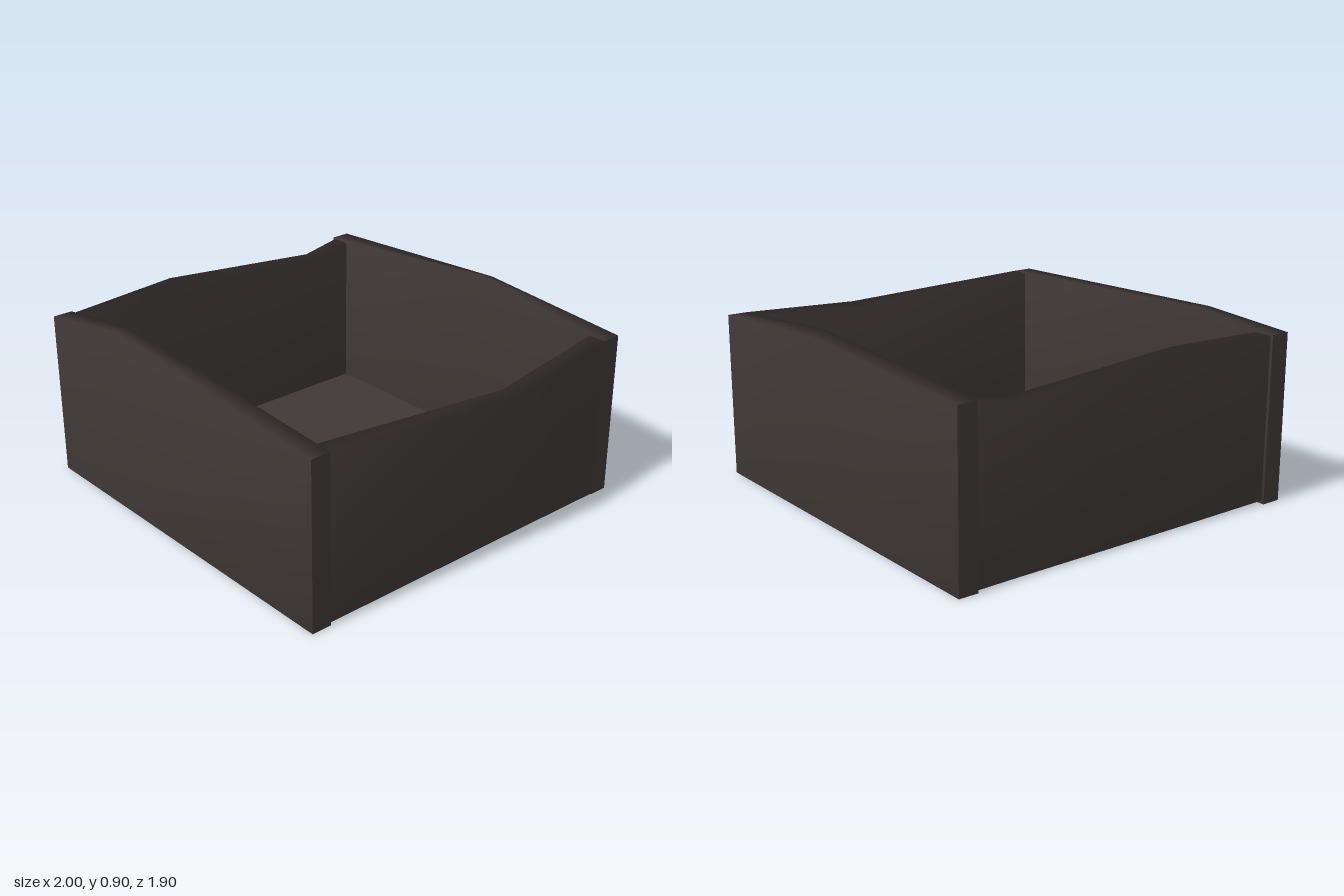
import * as THREE from 'three';

const dark = new THREE.MeshStandardMaterial({ color: 0x3f3837 });
dark.name = 'darkBrown';

// A warped plank lofted along local x, with its outer face towards local +z.
// Section: [along, base y, outer base z, outer top z, outer top y, inner top z, inner top y, inner base z]
function wall(name, sections, turn) {
  const positions = [], index = [];
  const rings = sections.map(([x, y0, ob, ot, oy, it, iy, ib]) =>
    [[x, y0, ob], [x, oy, ot], [x, iy, it], [x, y0, ib]]);

  // Smooth sides share their vertices
  rings.forEach(ring => ring.forEach(p => positions.push(...p)));
  for (let s = 0; s < rings.length - 1; s++) {
    for (let k = 0; k < 4; k++) {
      const a = s * 4 + k, d = s * 4 + (k + 1) % 4;
      index.push(a, a + 4, d + 4, a, d + 4, d);
    }
  }

  // Crisp end caps have their own vertices
  const caps = [rings[0], [...rings[rings.length - 1]].reverse()];
  for (const cap of caps) {
    const n = positions.length / 3;
    cap.forEach(p => positions.push(...p));
    index.push(n, n + 1, n + 2, n, n + 2, n + 3);
  }

  const geometry = new THREE.BufferGeometry();
  geometry.setAttribute('position', new THREE.Float32BufferAttribute(positions, 3));
  geometry.setIndex(index);
  geometry.computeVertexNormals();
  const mesh = new THREE.Mesh(geometry, dark);
  mesh.name = name;
  mesh.rotation.y = turn;
  return mesh;
}

export function createModel() {
  const model = new THREE.Group();
  model.name = 'openCrate';

  // Front and back planks run the full width
  model.add(wall('frontWall', [
    [-1, 0, 0.95, 0.95, 0.83, 0.85, 0.83, 0.85],
    [-0.54, 0, 0.95, 0.895, 0.88, 0.82, 0.885, 0.85],
    [0.93, 0, 0.95, 0.95, 0.825, 0.85, 0.825, 0.85],
  ], 0));
  model.add(wall('backWall', [
    [-0.93, 0, 0.94, 0.94, 0.82, 0.84, 0.82, 0.84],
    [-0.1, 0, 0.94, 0.955, 0.875, 0.88, 0.9, 0.84],
    [1, 0, 0.94, 0.94, 0.82, 0.84, 0.82, 0.84],
  ], Math.PI));

  // Side planks fit between them
  model.add(wall('rightWall', [
    [-0.85, 0.015, 0.93, 0.93, 0.825, 0.84, 0.825, 0.83],
    [0.18, 0.01, 0.93, 1.0, 0.775, 0.9, 0.765, 0.83],
    [0.84, 0.005, 0.93, 0.93, 0.82, 0.84, 0.82, 0.83],
  ], Math.PI / 2));
  model.add(wall('leftWall', [
    [-0.84, 0.005, 0.985, 0.985, 0.815, 0.89, 0.815, 0.89],
    [-0.63, 0.007, 0.985, 0.985, 0.775, 0.905, 0.775, 0.89],
    [0.28, 0.01, 0.985, 0.98, 0.865, 0.91, 0.845, 0.89],
    [0.85, 0.015, 0.985, 0.985, 0.825, 0.89, 0.825, 0.89],
  ], -Math.PI / 2));

  // Thin floor panel
  const floor = new THREE.Mesh(new THREE.BoxGeometry(1.74, 0.008, 1.7), dark);
  floor.name = 'floor';
  floor.position.set(-0.03, 0.018, 0.005);
  model.add(floor);

  return model;
}
